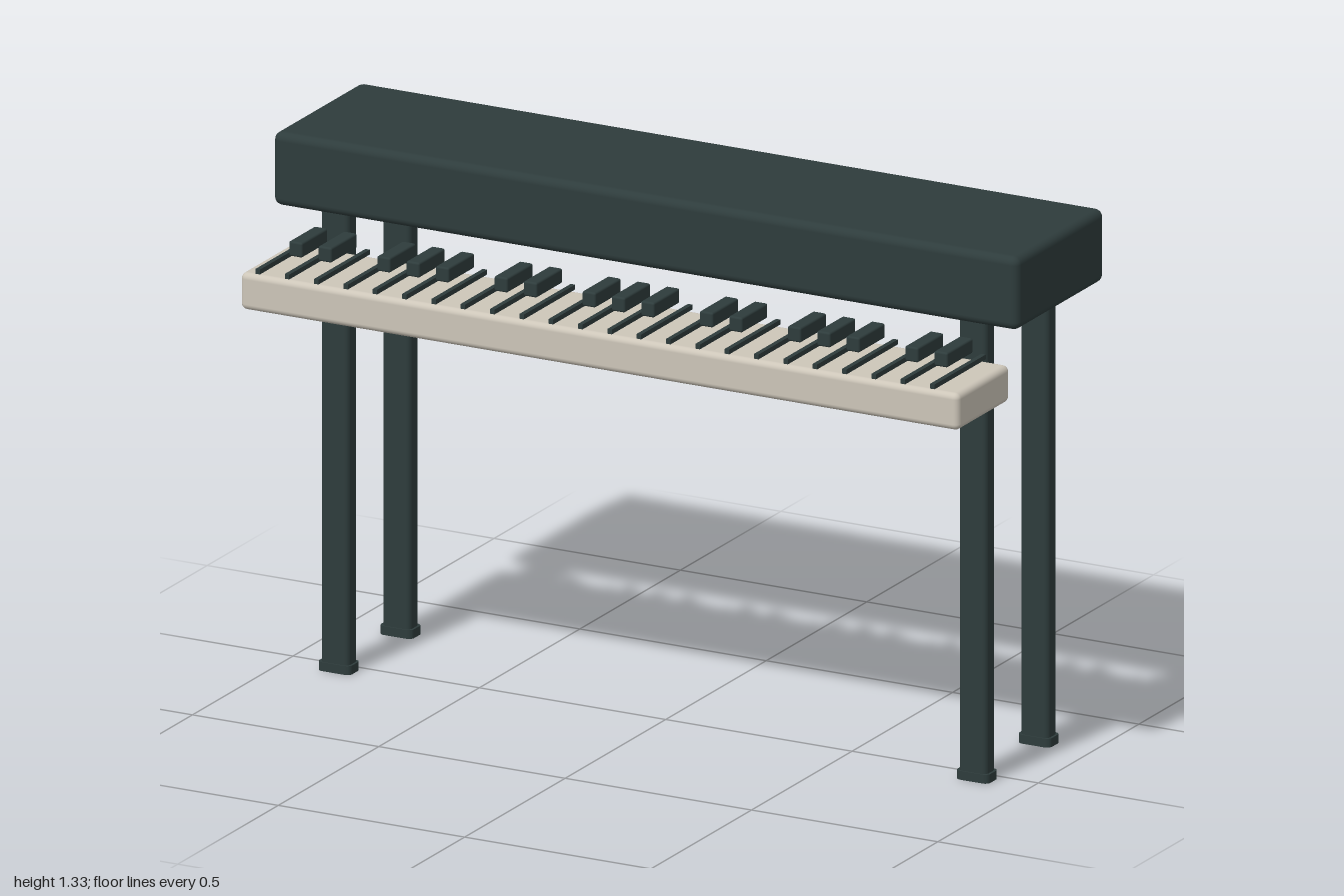
import * as THREE from 'three';
import { RoundedBoxGeometry } from 'three/addons/geometries/RoundedBoxGeometry.js';

const dark = new THREE.MeshStandardMaterial({ color: 0x2e3c3c });
dark.name = 'dark slate';
const ivory = new THREE.MeshStandardMaterial({ color: 0xcdc6b9 });
ivory.name = 'warm ivory';

// Box with rounded edges given by its min and max corners
function roundedBox(name, material, min, max, radius) {
  const size = max.map((v, i) => v - min[i]);
  const mesh = new THREE.Mesh(new RoundedBoxGeometry(...size, 3, radius), material);
  mesh.position.set(...max.map((v, i) => (v + min[i]) / 2));
  mesh.name = name;
  return mesh;
}

// Upright post with a rounded rectangular cross-section
function post(name, w, d, r, y0, y1) {
  const x = w / 2, z = d / 2, q = Math.PI / 2;
  const s = new THREE.Shape();
  s.absarc(x - r, z - r, r, 0, q);
  s.absarc(-x + r, z - r, r, q, 2 * q);
  s.absarc(-x + r, -z + r, r, 2 * q, 3 * q);
  s.absarc(x - r, -z + r, r, 3 * q, 4 * q);
  const geometry = new THREE.ExtrudeGeometry(s, { depth: y1 - y0, bevelEnabled: false, curveSegments: 4 });
  geometry.rotateX(-Math.PI / 2).translate(0, y0, 0);
  const mesh = new THREE.Mesh(geometry, dark);
  mesh.name = name;
  return mesh;
}

export function createModel() {
  const model = new THREE.Group();
  model.name = 'keyboardStand';

  // Long cabinet and the key bed in front of it
  model.add(roundedBox('cabinet', dark, [-1, 1.152, -0.332], [1, 1.334, 0.104], 0.02));
  model.add(roundedBox('keyBed', ivory, [-0.964, 0.965, 0.073], [0.964, 1.057, 0.332], 0.015));

  // Key dividers and raised dark keys, in repeating groups of two and three
  const pitch = 0.0787, first = -0.917;
  const dividers = new THREE.Group(), keys = new THREE.Group();
  dividers.name = 'keyDividers';
  keys.name = 'darkKeys';
  for (let i = 0; i < 24; i++) {
    const x = first + i * pitch;
    const divider = new THREE.Mesh(new THREE.BoxGeometry(0.012, 0.012, 0.255), dark);
    divider.position.set(x, 1.066, 0.202);
    divider.name = 'divider';
    dividers.add(divider);
    const step = i % 7;
    if (i < 23 && step !== 2 && step !== 6) {
      const c = x + pitch / 2;
      keys.add(roundedBox('darkKey', dark, [c - 0.018, 1.075, 0.086], [c + 0.018, 1.112, 0.215], 0.005));
    }
  }
  model.add(dividers, keys);

  // Four legs with slightly wider feet
  for (const x of [-0.856, 0.856]) {
    for (const z of [0.039, -0.268]) {
      const leg = new THREE.Group();
      leg.name = 'leg';
      leg.add(post('legPost', 0.076, 0.048, 0.013, 0.01, 1.16));
      leg.add(post('foot', 0.088, 0.055, 0.014, 0, 0.022));
      leg.position.set(x, 0, z);
      model.add(leg);
    }
  }
  return model;
}
